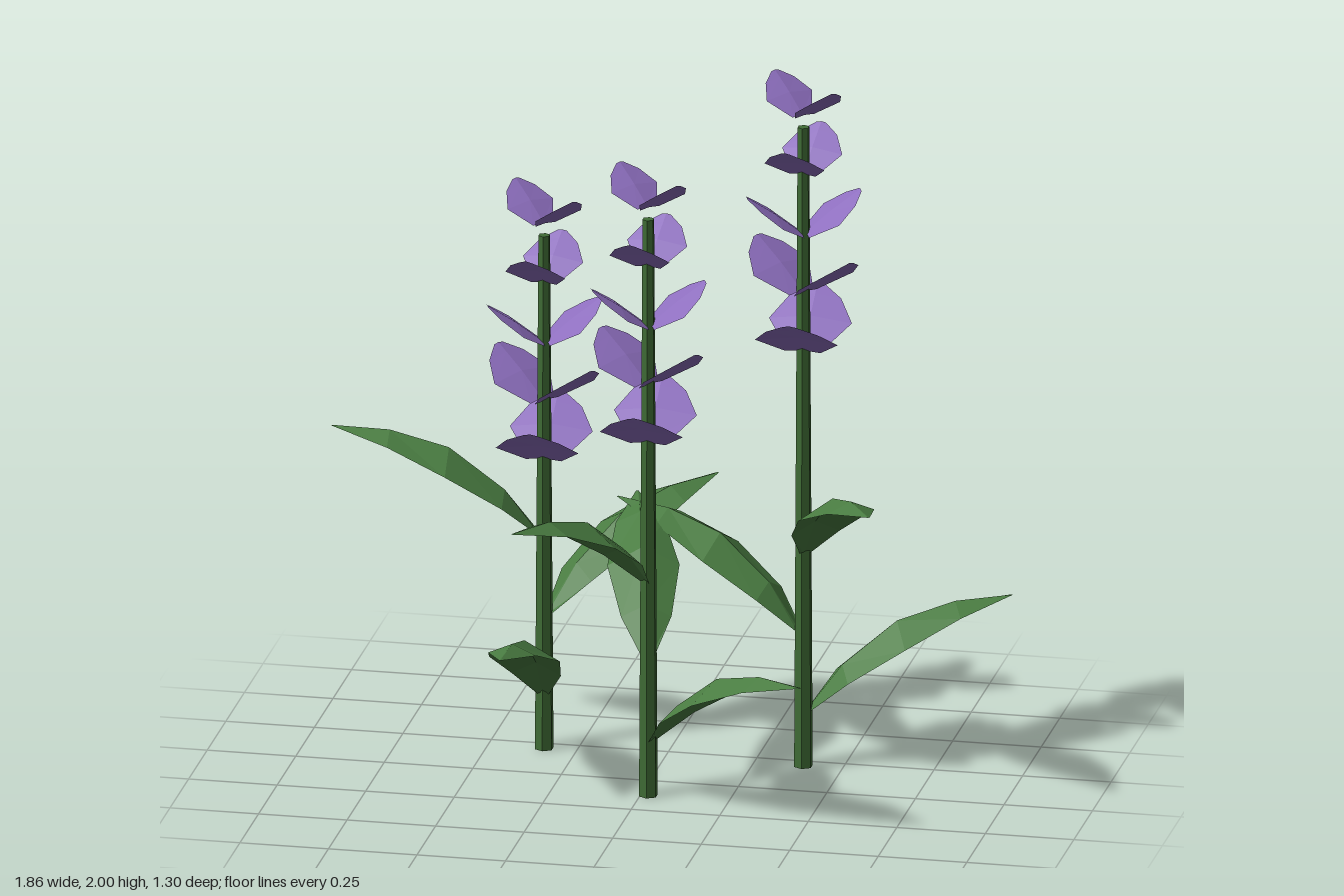
import * as THREE from 'three';

const mat = (color) => new THREE.MeshStandardMaterial({ color, flatShading: true, side: THREE.DoubleSide });

// Folded blade growing along +z; each row is [distance, height, half width, edge droop]
function bladeGeometry(rows) {
  const pos = [], idx = [];
  rows.forEach(([d, y, w, droop], i) => {
    pos.push(-w, y - droop, d, 0, y, d, w, y - droop, d);
    if (i === 0) return;
    for (let k = 0; k < 2; k++) {
      const a = (i - 1) * 3 + k, b = i * 3 + k;
      idx.push(a, b, a + 1, a + 1, b, b + 1);
    }
  });
  const g = new THREE.BufferGeometry();
  g.setAttribute('position', new THREE.Float32BufferAttribute(pos, 3));
  g.setIndex(idx);
  g.computeVertexNormals();
  return g;
}

export function createModel() {
  const model = new THREE.Group();
  model.name = 'flowerCluster';
  const stemMat = mat(0x3f6b35), leafMat = mat(0x4a7d42), petalMat = mat(0x8e6fbf);

  const leafGeo = bladeGeometry([
    [0.01, 0, 0.012, 0],
    [0.11, 0.13, 0.07, 0.035],
    [0.265, 0.247, 0.1, 0.055],
    [0.43, 0.292, 0.068, 0.03],
    [0.592, 0.298, 0.003, 0],
  ]);
  const petalGeo = bladeGeometry([
    [0.008, 0.005, 0.05, 0.005],
    [0.095, 0.072, 0.117, 0.015],
    [0.16, 0.115, 0.073, 0.01],
    [0.193, 0.137, 0.018, 0.003],
  ]);

  // One stalk: stem, three spiralling leaves and five tiers of paired petals
  function stalk(x, z, height, turn) {
    const plant = new THREE.Group();
    plant.name = 'flowerStalk';
    plant.position.set(x, 0, z);

    const stem = new THREE.Mesh(new THREE.CylinderGeometry(0.017, 0.027, height, 6), stemMat);
    stem.name = 'stem';
    stem.position.y = height / 2;
    plant.add(stem);

    for (let i = 0; i < 3; i++) {
      const leaf = new THREE.Mesh(leafGeo, leafMat);
      leaf.name = 'leaf';
      leaf.position.y = 0.158 + i * 0.232;
      leaf.rotation.y = turn + i * 2.4;
      plant.add(leaf);
    }

    for (let tier = 0; tier < 5; tier++) {
      const s = 1 - tier * 0.082;
      for (let side = 0; side < 2; side++) {
        const petal = new THREE.Mesh(petalGeo, petalMat);
        petal.name = 'petal';
        petal.position.y = height - 0.655 + tier * 0.172;
        petal.rotation.y = tier + side * Math.PI;
        petal.scale.set(s, 1 - tier * 0.069, s);
        plant.add(petal);
      }
    }
    model.add(plant);
  }

  stalk(-0.342, -0.208, 1.5, 0);
  stalk(0.022, 0.125, 1.685, 1);
  stalk(0.39, -0.208, 1.868, 2);
  return model;
}
